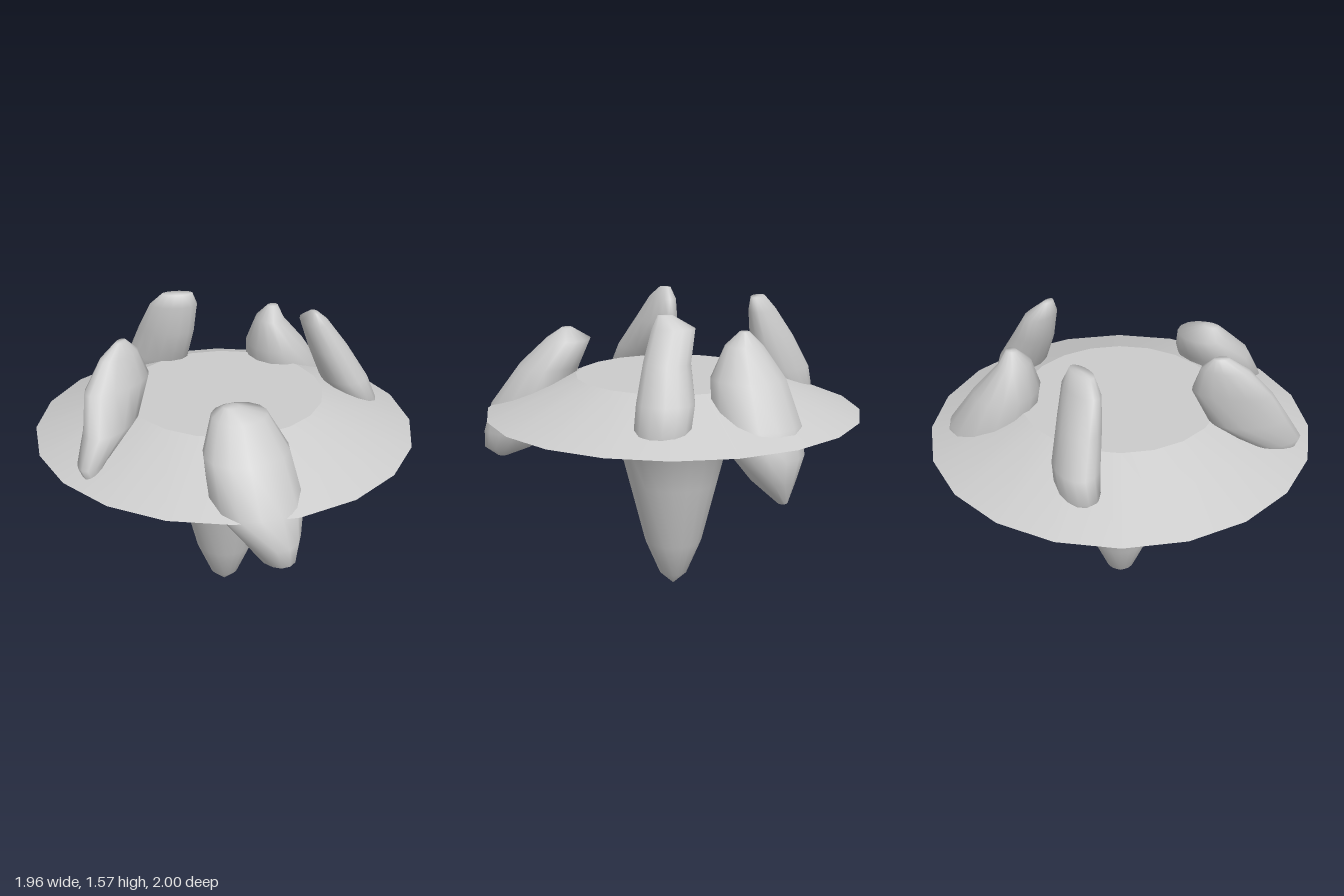
import * as THREE from 'three';

const CENTER_Z = -0.02;
const SIDES = 20;
const grey = () => new THREE.MeshStandardMaterial({ color: 0xcccccc, side: THREE.DoubleSide });

function add(group, name, geometry) {
  const mesh = new THREE.Mesh(geometry, grey());
  mesh.name = name;
  group.add(mesh);
  return mesh;
}

function lathe(points) {
  return new THREE.LatheGeometry(points.map(([r, y]) => new THREE.Vector2(r, y)), SIDES);
}

// Boulder lofted through level ovals, top to bottom.
// Each row is [y, xMin, xMax, zMin, zMax]; skew turns the oval off the axes.
function boulder(rows, skew, segments = 14) {
  const first = rows[0], last = rows[rows.length - 1];
  const pole = ([y, x0, x1, z0, z1]) => {
    const x = (x0 + x1) / 2, z = (z0 + z1) / 2;
    return [y, x, x, z, z];
  };
  const rings = [pole(first), ...rows, pole(last)];
  const positions = [], index = [];
  rings.forEach(([y, x0, x1, z0, z1], i) => {
    for (let j = 0; j < segments; j++) {
      const t = (j / segments) * Math.PI * 2;
      positions.push(
        (x0 + x1) / 2 + ((x1 - x0) / 2) * Math.cos(t),
        y,
        (z0 + z1) / 2 + ((z1 - z0) / 2) * Math.sin(t + skew)
      );
      if (i === rings.length - 1) continue;
      const a = i * segments + j, b = i * segments + (j + 1) % segments;
      const c = a + segments, d = b + segments;
      if (i > 0) index.push(a, b, c);
      if (i < rings.length - 2) index.push(b, d, c);
      if (i === 0) index.push(b, d, c);
    }
  });
  const geometry = new THREE.BufferGeometry();
  geometry.setAttribute('position', new THREE.Float32BufferAttribute(positions, 3));
  geometry.setIndex(index);
  geometry.computeVertexNormals();
  return geometry;
}

const boulders = {
  frontBoulder: { skew: 0, rows: [
    [1.39, -0.22, -0.14, 0.52, 0.58],
    [1.34, -0.27, 0.0, 0.42, 0.66],
    [1.2, -0.35, 0.07, 0.48, 0.81],
    [1.0, -0.36, 0.09, 0.56, 0.96],
    [0.85, -0.24, 0.05, 0.63, 1.0],
    [0.76, -0.17, 0.01, 0.75, 1.0],
    [0.71, -0.09, -0.06, 0.88, 0.93],
  ] },
  rightSideBoulder: { skew: -0.6, rows: [
    [1.56, -0.58, -0.52, 0.0, 0.06],
    [1.5, -0.67, -0.46, -0.03, 0.12],
    [1.37, -0.77, -0.41, -0.04, 0.2],
    [1.2, -0.81, -0.49, 0.0, 0.31],
    [1.07, -0.86, -0.67, 0.12, 0.36],
    [0.97, -0.82, -0.74, 0.25, 0.33],
  ] },
  backBoulder: { skew: 0.4, rows: [
    [1.57, -0.18, -0.02, -0.5, -0.42],
    [1.5, -0.24, 0.01, -0.56, -0.41],
    [1.35, -0.28, 0.0, -0.66, -0.42],
    [1.18, -0.32, -0.02, -0.75, -0.47],
    [1.08, -0.36, -0.06, -0.77, -0.55],
    [0.97, -0.25, -0.12, -0.75, -0.64],
  ] },
  backLeftBoulder: { skew: 0, rows: [
    [1.47, 0.38, 0.44, -0.39, -0.34],
    [1.4, 0.32, 0.47, -0.46, -0.27],
    [1.25, 0.28, 0.6, -0.57, -0.2],
    [1.05, 0.3, 0.74, -0.64, -0.2],
    [0.92, 0.39, 0.78, -0.65, -0.29],
    [0.8, 0.48, 0.75, -0.61, -0.39],
    [0.69, 0.62, 0.68, -0.57, -0.52],
  ] },
  leftSideBoulder: { skew: 0, rows: [
    [1.56, 0.46, 0.5, -0.02, 0.05],
    [1.5, 0.43, 0.57, -0.13, 0.08],
    [1.35, 0.47, 0.68, -0.11, 0.12],
    [1.18, 0.54, 0.79, -0.13, 0.15],
    [1.05, 0.64, 0.84, -0.11, 0.16],
    [0.96, 0.72, 0.8, -0.04, 0.08],
  ] },
};

export function createModel() {
  const model = new THREE.Group();
  model.name = 'floatingIsland';

  // Platform: thin sloping brim, flat top and hanging spike
  const platform = new THREE.Group();
  platform.name = 'platform';
  platform.position.z = CENTER_Z;
  model.add(platform);
  add(platform, 'brim', lathe([[0.98, 0.99], [0.51, 1.18]]));
  const top = new THREE.CircleGeometry(0.51, SIDES).rotateX(-Math.PI / 2);
  add(platform, 'flatTop', top.translate(0, 1.18, 0));
  add(platform, 'spike', lathe([
    [0, 0], [0.075, 0.07], [0.155, 0.26], [0.24, 0.6],
    [0.305, 0.86], [0.43, 0.98], [0.495, 1.08], [0.51, 1.18],
  ]));

  // Ring of leaning boulders set through the brim
  const ring = new THREE.Group();
  ring.name = 'boulders';
  model.add(ring);
  for (const [name, { rows, skew }] of Object.entries(boulders)) {
    add(ring, name, boulder(rows, skew));
  }
  return model;
}
